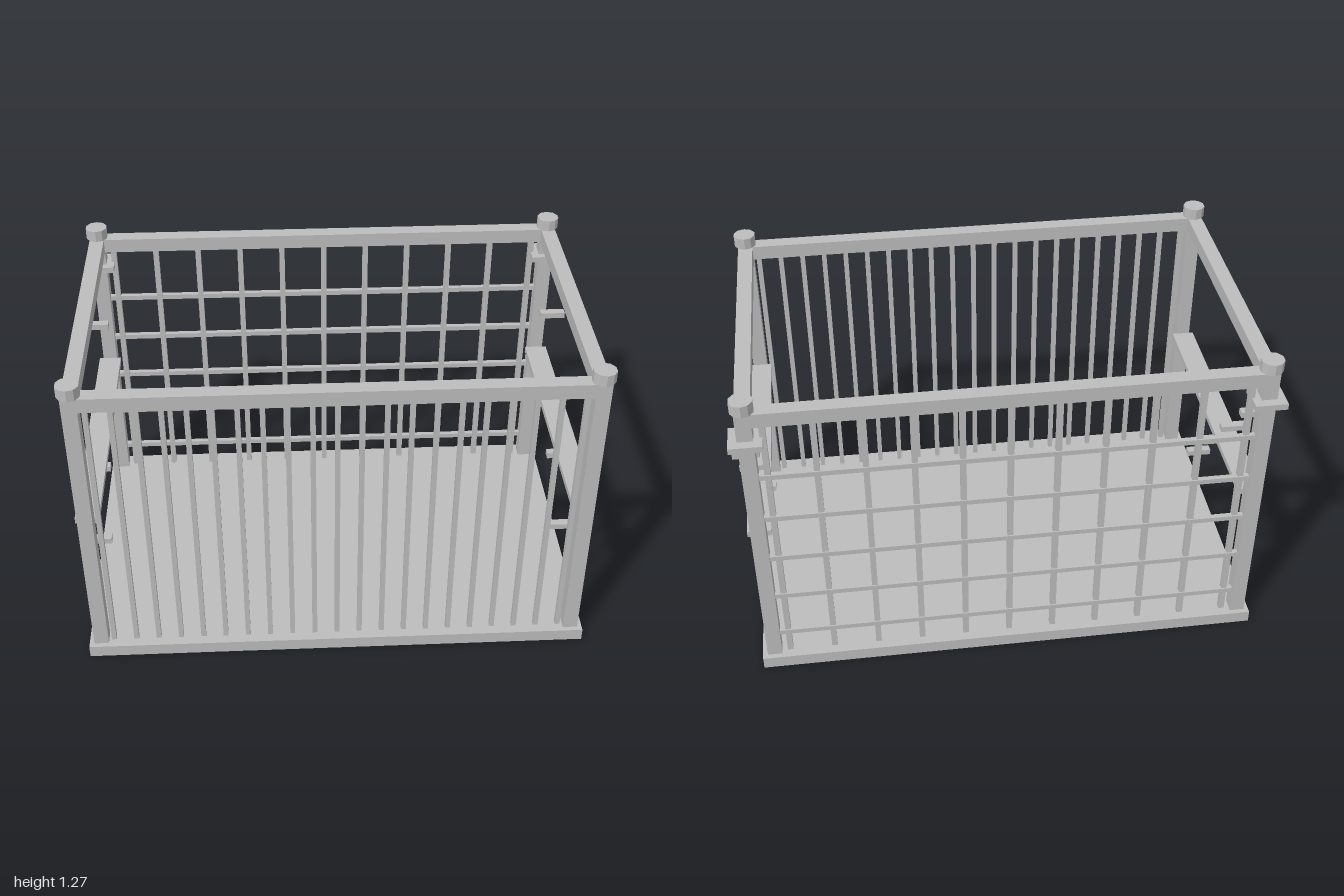
import * as THREE from 'three';

export function createModel() {
  const model = new THREE.Group();
  const frame = new THREE.Group();
  frame.name = 'frame';
  frame.position.z = 0.008;
  model.add(frame);

  const grey = new THREE.MeshStandardMaterial({ color: 0xbcbcbc });
  grey.name = 'plain grey';

  const add = (name, geometry, x, y, z) => {
    const mesh = new THREE.Mesh(geometry, grey);
    mesh.name = name;
    mesh.position.set(x, y, z);
    frame.add(mesh);
  };
  const box = (name, w, h, d, x, y, z) => add(name, new THREE.BoxGeometry(w, h, d), x, y, z);

  const postX = 0.928, postZ = 0.561, post = 0.057;
  const floorTop = 0.05, railBottom = 1.168, top = 1.225;
  const barHeight = railBottom - floorTop, barY = (railBottom + floorTop) / 2;

  // Floor slab
  box('floor', 1.95, floorTop, 1.218, 0, floorTop / 2, 0);

  // Corner posts with faceted caps
  const capGeometry = new THREE.CylinderGeometry(0.043, 0.043, 0.045, 10).toNonIndexed();
  capGeometry.computeVertexNormals();
  for (const sx of [-1, 1]) {
    for (const sz of [-1, 1]) {
      box('cornerPost', post, top - floorTop, post, sx * postX, (top + floorTop) / 2, sz * postZ);
      add('postCap', capGeometry, sx * postX, top + 0.0225, sz * postZ);
    }
  }

  // Top rails, stopping at the posts
  const railY = (top + railBottom) / 2, railH = top - railBottom;
  for (const s of [-1, 1]) {
    box('longTopRail', 2 * postX - post, railH, post, 0, railY, s * postZ);
    box('sideTopRail', post, railH, 2 * postZ - post, s * postX, railY, 0);
  }

  for (const s of [-1, 1]) {
    // Flat side planks and collars on the back posts
    box('sidePlank', 0.09, 0.024, 1.067, s * postX, 0.636, 0);
    box('postCollar', 0.12, 0.024, 0.12, s * postX, 1.1, -0.564);
    // Stepped foot pegs rising toward the back
    for (let i = 0; i < 4; i++) {
      box('footPeg', 0.1, 0.024, 0.033, s * 0.95, 0.248 + i * 0.219, 0.194 - i * 0.195);
    }
  }

  // Front bars
  for (let i = -10; i <= 10; i++) {
    box('frontBar', 0.019, barHeight, 0.019, i * 0.088, barY, postZ);
  }

  // Back lattice
  for (let i = -5; i <= 5; i++) {
    box('latticeUpright', 0.022, barHeight, 0.022, i * 0.1735, barY, -postZ);
  }
  for (let i = 0; i < 5; i++) {
    box('latticeCrossbar', 1.8, 0.02, 0.02, 0, 0.153 + i * 0.195, -postZ - 0.006);
  }

  return model;
}
